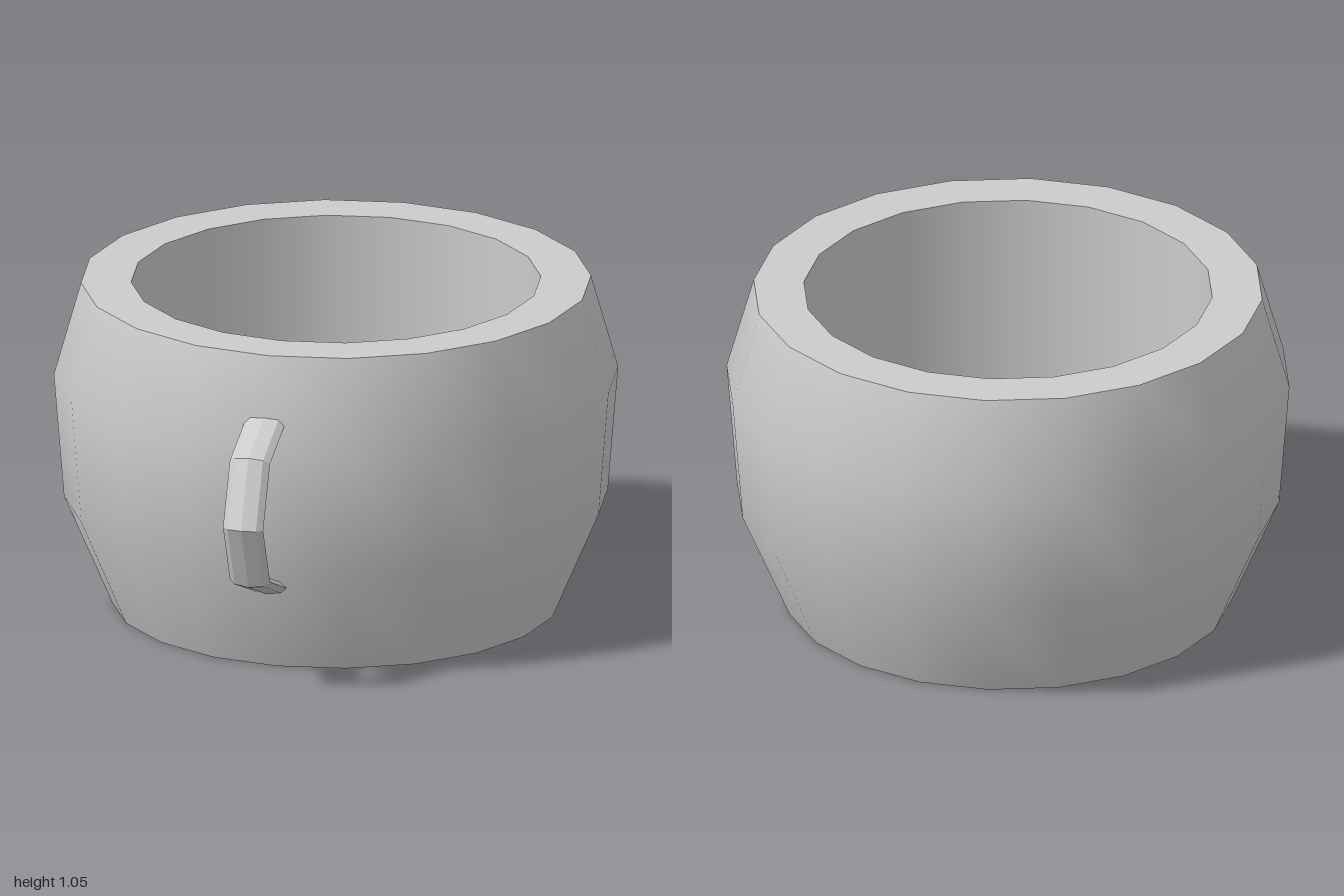
import * as THREE from 'three';

const SIDES = 20;

export function createModel() {
  const model = new THREE.Group();
  model.name = 'mug';
  const material = new THREE.MeshStandardMaterial({ color: 0xcccccc });

  // Bowl: each turned strip is smooth by itself, with sharp edges between strips
  const bowl = new THREE.Group();
  bowl.name = 'bowl';
  bowl.position.z = -0.12;
  const strips = {
    underside: [[0, 0], [0.7, 0]],
    outerWall: [[0.7, 0], [0.85, 0.35], [0.882, 0.75], [0.797, 1.05]],
    rim: [[0.797, 1.05], [0.64, 1.05]],
    innerWall: [[0.64, 1.05], [0.64, 0.1]],
    innerFloor: [[0.64, 0.1], [0, 0.1]],
  };
  for (const [name, profile] of Object.entries(strips)) {
    const points = profile.map(([r, y]) => new THREE.Vector2(r, y));
    const strip = new THREE.Mesh(new THREE.LatheGeometry(points, SIDES), material);
    strip.name = name;
    bowl.add(strip);
  }
  model.add(bowl);

  // Handle: a faceted half ring, widened into a flat band
  const ring = new THREE.TorusGeometry(0.275, 0.025, 8, 4, Math.PI);
  ring.rotateZ(-Math.PI / 2).rotateY(-Math.PI / 2).scale(2.6, 1, 1);
  const handleMaterial = new THREE.MeshStandardMaterial({
    color: 0xcccccc, flatShading: true, side: THREE.DoubleSide,
  });
  const handle = new THREE.Mesh(ring, handleMaterial);
  handle.name = 'handle';
  handle.position.set(0, 0.575, 0.7);
  model.add(handle);

  return model;
}
